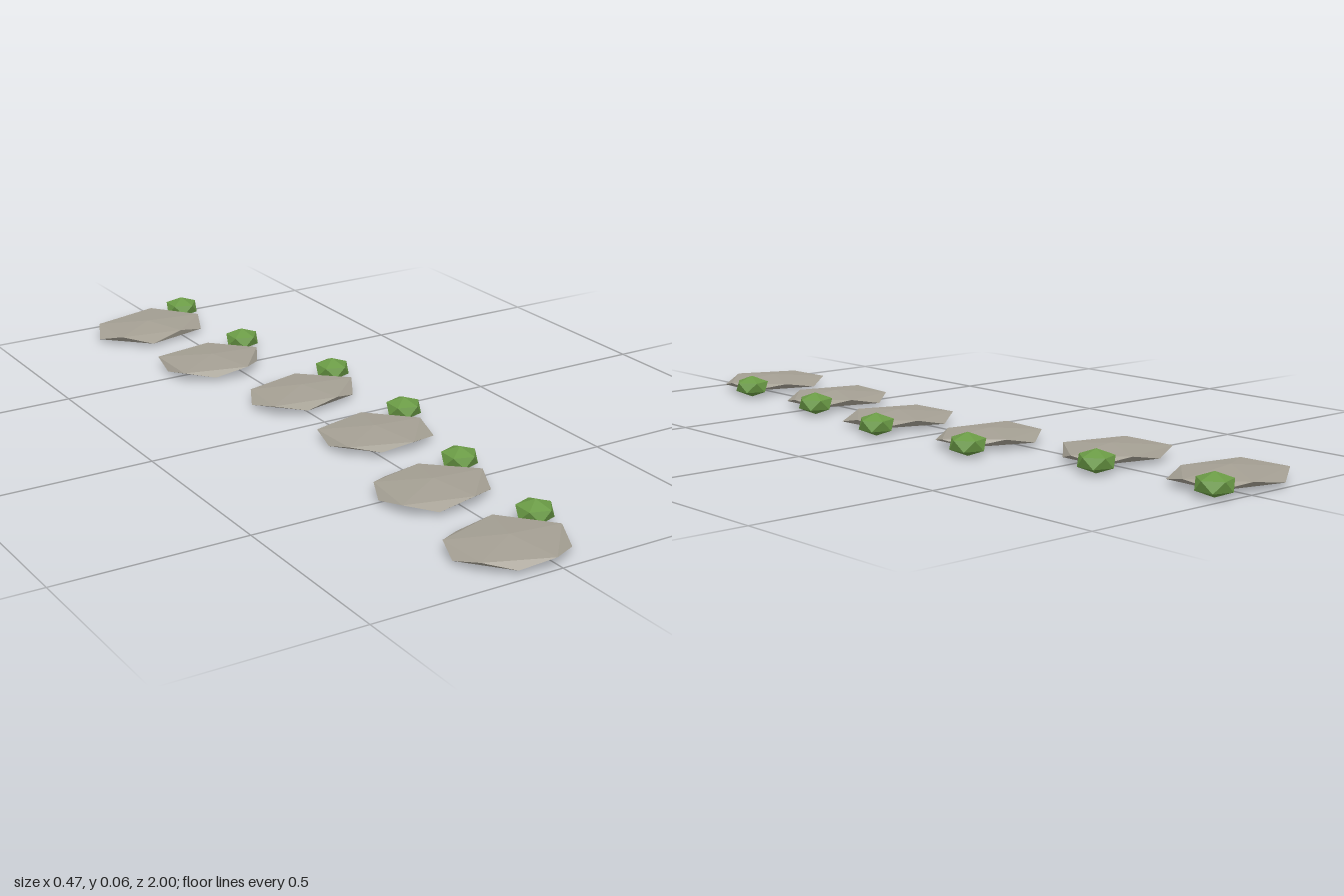
import * as THREE from 'three';

const stoneMat = new THREE.MeshStandardMaterial({ color: 0xa49f93, flatShading: true });
stoneMat.name = 'stone grey';
const mossMat = new THREE.MeshStandardMaterial({ color: 0x6a9a45, flatShading: true });
mossMat.name = 'moss green';

// Squashed 20-sided ball: two poles and a zigzag belt of ten points.
// Belt points run left, back, right, front; even ones are low, odd ones high.
function pebble(belt, height) {
  const h = height / 2, ring = h * 0.447;
  const pts = belt.map(([x, z], i) => [x, i % 2 ? ring : -ring, z]);
  const top = [0, h, 0], bottom = [0, -h, 0];
  const verts = [];
  for (let i = 0; i < 10; i++) {
    const a = pts[i], b = pts[(i + 1) % 10], c = pts[(i + 2) % 10];
    if (i % 2) verts.push(a, c, b, top, c, a);
    else verts.push(a, b, c, bottom, a, c);
  }
  const geo = new THREE.BufferGeometry();
  geo.setAttribute('position', new THREE.Float32BufferAttribute(verts.flat(), 3));
  geo.computeVertexNormals();
  return geo;
}

// Each stone: centre x, z; moss x, z; belt outline in hundredths
const stones = [
  { at: [-0.079, -0.871], moss: [0.079, -0.96], belt: [[-15.8, 0.5], [-12.1, -7.4], [-3.7, -12.9], [7.4, -12.8], [14, -8.4], [16.9, -0.5], [13.7, 7.4], [5.8, 10], [-4.2, 12.1], [-11.6, 6.9]] },
  { at: [-0.053, -0.517], moss: [0.095, -0.612], belt: [[-13.7, -0.5], [-12.7, -8.4], [-4.7, -11.6], [4.7, -11.6], [11.6, -7.4], [14.8, -1], [11.6, 4.9], [4.7, 11.8], [-4.7, 10.8], [-12.7, 7.4]] },
  { at: [0.037, -0.179], moss: [0.186, -0.264], belt: [[-15.3, 0], [-12.1, -6.3], [-4.7, -11.6], [4.2, -10.6], [11.6, -5.3], [15.8, 0], [11.6, 7.4], [4.7, 10.6], [-4.7, 11.3], [-13.2, 7.9]] },
  { at: [0.047, 0.169], moss: [0.191, 0.084], belt: [[-13.7, 0], [-12.7, -7.4], [-5.3, -12.5], [3.2, -11.6], [12.1, -6.3], [14.2, -0.5], [12.7, 7.9], [3.7, 12.3], [-4.7, 10.4], [-12.1, 6.9]] },
  { at: [-0.016, 0.522], moss: [0.123, 0.433], belt: [[-14.8, -1], [-12.1, -7.4], [-5.8, -12.1], [3.2, -11.1], [11.6, -6.9], [14.8, -0.5], [11.6, 7.4], [3.7, 11.9], [-6.3, 11.9], [-13.7, 7.4]] },
  { at: [-0.047, 0.865], moss: [0.09, 0.779], belt: [[-15.3, 0], [-13.2, -6.9], [-5.8, -12.1], [4.2, -12.1], [12.1, -6.3], [14.8, 0], [11.6, 7.9], [3.2, 13.3], [-5.8, 11.4], [-12.7, 6.9]] },
];

// Regular belt for the moss tufts
const mossBelt = Array.from({ length: 10 }, (_, i) => {
  const a = Math.PI + i * Math.PI / 5;
  return [0.0455 * Math.cos(a), 0.0455 * Math.sin(a)];
});

export function createModel() {
  const model = new THREE.Group();
  model.name = 'steppingStonePath';
  const mossGeo = pebble(mossBelt, 0.06);
  stones.forEach(({ at, moss, belt }, i) => {
    // Flat stepping stone
    const outline = belt.map(([x, z]) => [x / 100, z / 100]);
    const stone = new THREE.Mesh(pebble(outline, 0.039), stoneMat);
    stone.name = `steppingStone${i + 1}`;
    stone.position.set(at[0], 0.0235, at[1]);
    // Moss tuft at its back left edge
    const tuft = new THREE.Mesh(mossGeo, mossMat);
    tuft.name = `mossTuft${i + 1}`;
    tuft.position.set(moss[0], 0.033, moss[1]);
    model.add(stone, tuft);
  });
  return model;
}
